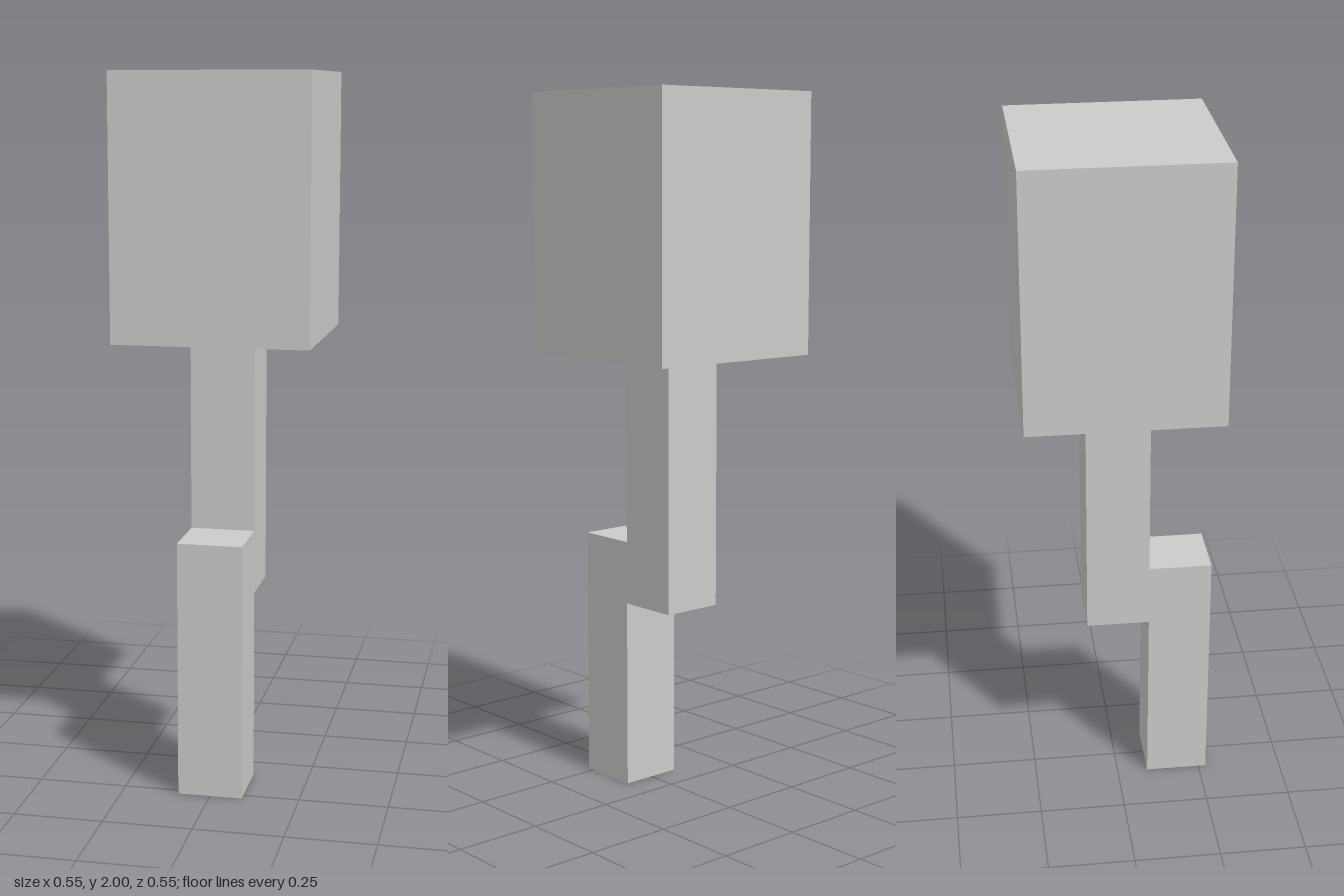
import * as THREE from 'three';

const U = 2 / 11; // the model sits on a grid 11 units tall

export function createModel() {
  const model = new THREE.Group();
  const material = new THREE.MeshStandardMaterial({ color: 0xcccccc, flatShading: true });

  // Block head, 3 x 4 x 3 units
  const head = new THREE.Mesh(new THREE.BoxGeometry(3 * U, 4 * U, 3 * U), material);
  head.name = 'head';
  head.position.y = 9 * U;
  model.add(head);

  // Stepped handle: side profile in (z, y) units, one unit wide
  const profile = [
    [0.5, 0], [1.5, 0], [1.5, 4], [0.5, 4],
    [0.5, 7], [-0.5, 7], [-0.5, 3], [0.5, 3],
  ];
  const shape = new THREE.Shape(profile.map(([z, y]) => new THREE.Vector2(z * U, y * U)));
  const geometry = new THREE.ExtrudeGeometry(shape, { depth: U, bevelEnabled: false });
  geometry.translate(0, 0, -U / 2).rotateY(-Math.PI / 2);
  const handle = new THREE.Mesh(geometry, material);
  handle.name = 'handle';
  model.add(handle);

  return model;
}
